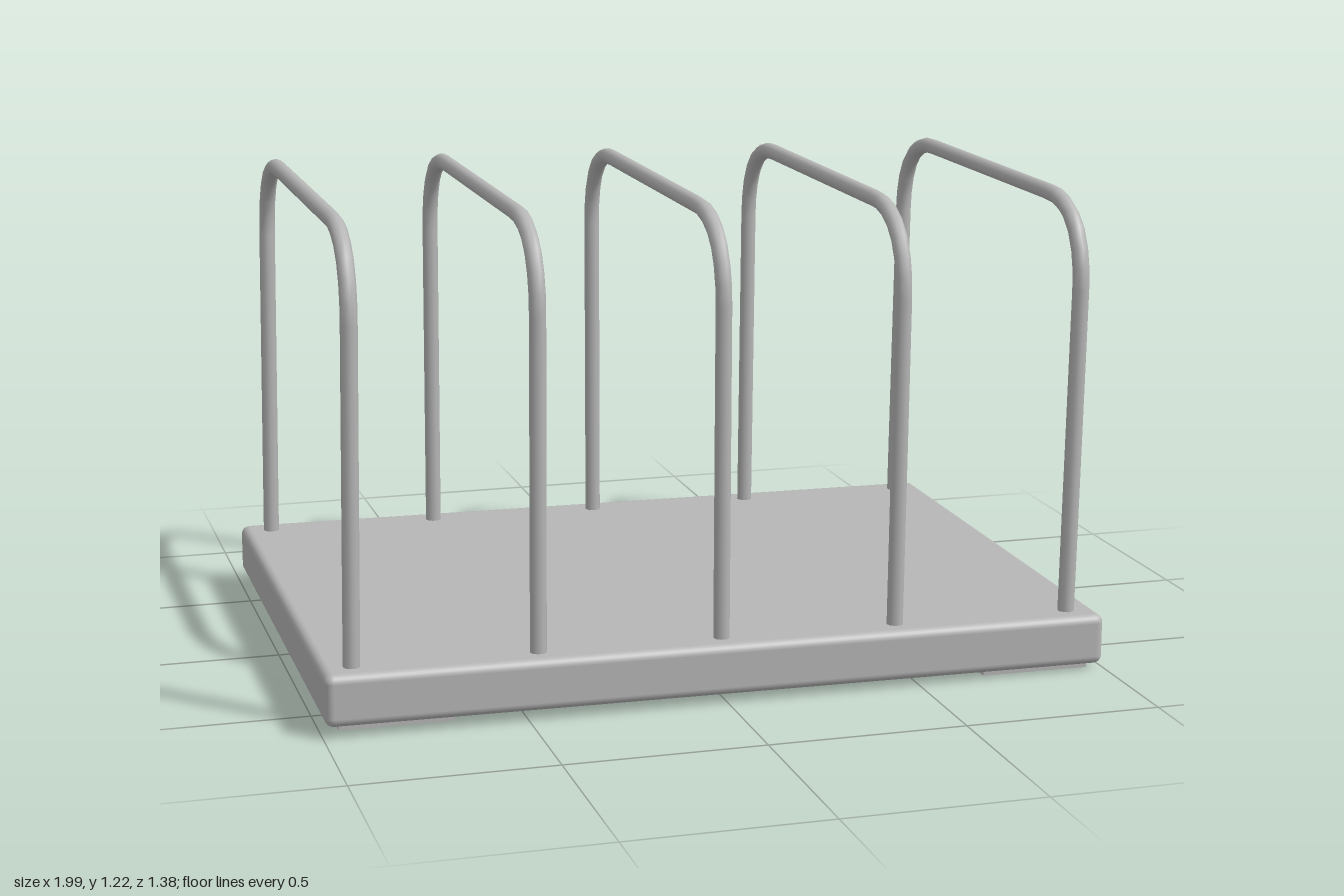
import * as THREE from 'three';
import { RoundedBoxGeometry } from 'three/addons/geometries/RoundedBoxGeometry.js';

const V = (x, y, z) => new THREE.Vector3(x, y, z);

// Slight lean of the whole rack: lower towards +x and +z
function settle(geometry) {
  const p = geometry.attributes.position;
  for (let i = 0; i < p.count; i++) {
    p.setY(i, p.getY(i) - 0.007 * p.getX(i) - 0.006 * p.getZ(i));
  }
  geometry.computeBoundingSphere();
  return geometry;
}

// Wire hoop: two legs, two rounded corners and a straight top bar
function hoopGeometry(xFoot, xTop) {
  const top = 1.195, bend = 0.19, foot = 0.13;
  const front = 0.63, back = -0.615;
  const lean = (y) => xFoot + (xTop - xFoot) * (y - foot) / (top - foot);
  const at = (y, z) => V(lean(y), y, z);
  const path = new THREE.CurvePath();
  path.add(new THREE.LineCurve3(at(foot, front - 0.006), at(top - bend, front)));
  path.add(new THREE.QuadraticBezierCurve3(
    at(top - bend, front), at(top - 0.015, front - 0.015), at(top, front - bend)));
  path.add(new THREE.LineCurve3(at(top, front - bend), at(top, back + bend)));
  path.add(new THREE.QuadraticBezierCurve3(
    at(top, back + bend), at(top - 0.015, back + 0.015), at(top - bend, back)));
  path.add(new THREE.LineCurve3(at(top - bend, back), at(foot, back - 0.004)));
  return settle(new THREE.TubeGeometry(path, 64, 0.021, 10, false));
}

export function createModel() {
  const model = new THREE.Group();
  model.name = 'rack';
  const metal = new THREE.MeshStandardMaterial({ color: 0xb6b6b6 });
  metal.name = 'grey metal';

  const add = (name, geometry) => {
    const mesh = new THREE.Mesh(geometry, metal);
    mesh.name = name;
    model.add(mesh);
  };

  // Base slab with softened edges
  const slab = new RoundedBoxGeometry(1.99, 0.13, 1.38, 3, 0.022);
  slab.translate(0, 0.09, 0);
  add('base', settle(slab));

  // Thin pads under the four corners
  for (const sx of [-1, 1]) {
    for (const sz of [-1, 1]) {
      const pad = new THREE.BoxGeometry(0.28, 0.02, 0.27);
      pad.translate(sx * 0.82, 0.021, sz * 0.525);
      add('footPad', settle(pad));
    }
  }

  // Five hoops, the outer ones leaning slightly
  const hoops = [[-0.92, -0.905], [-0.463, -0.458], [0, 0], [0.453, 0.46], [0.915, 0.928]];
  for (const [foot, top] of hoops) add('hoop', hoopGeometry(foot, top));

  return model;
}
